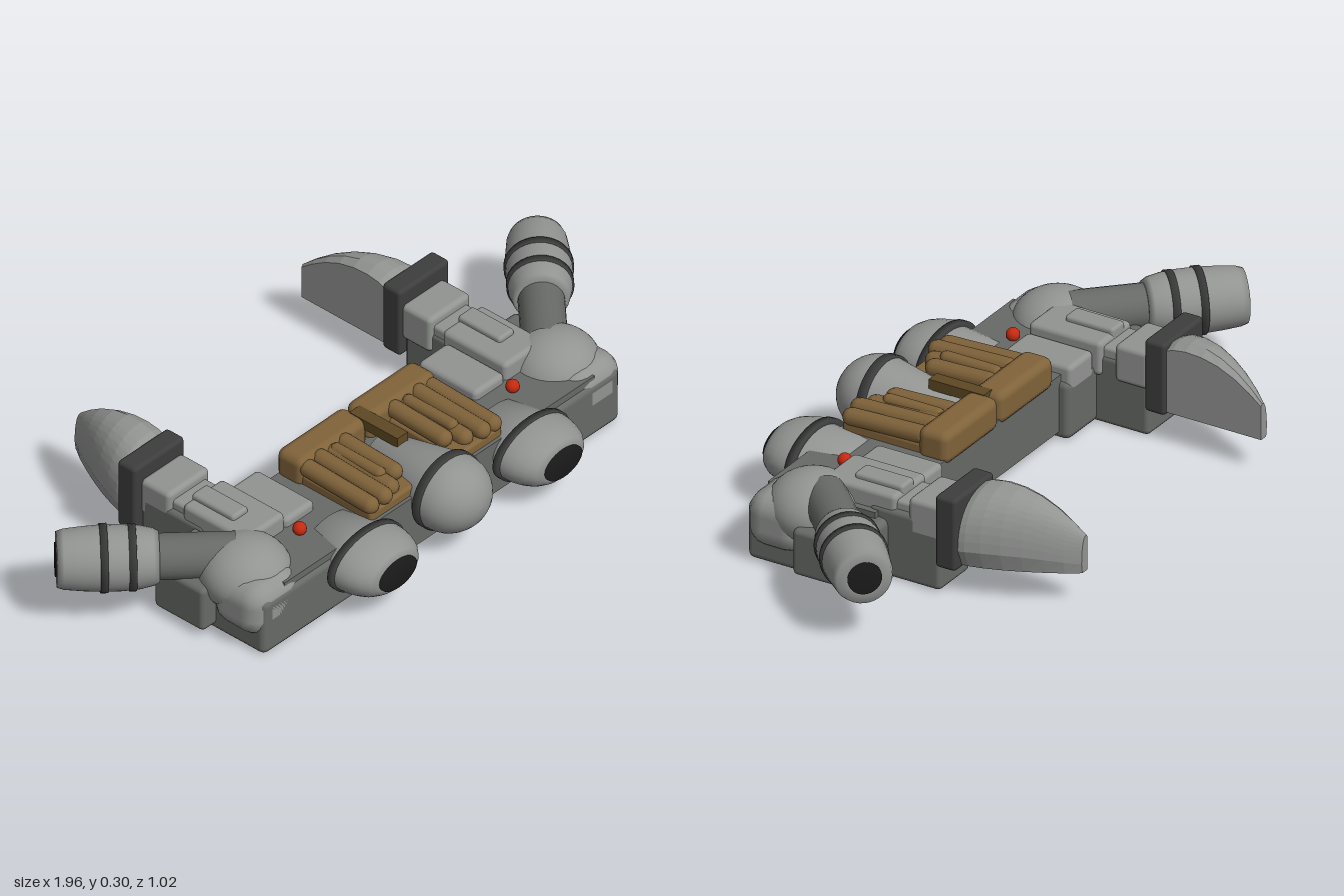
import * as THREE from 'three';
import { RoundedBoxGeometry } from 'three/addons/geometries/RoundedBoxGeometry.js';

const paint = (name, color) => {
  const m = new THREE.MeshStandardMaterial({ color });
  m.name = name;
  return m;
};

export function createModel() {
  const light = paint('light grey', 0x929492);
  const dark = paint('dark grey', 0x676a67);
  const band = paint('charcoal', 0x3c3d3c);
  const black = paint('black', 0x1b1b1b);
  const brown = paint('brown', 0x80633a);
  const strapBrown = paint('dark brown', 0x5e4823);
  const red = paint('red', 0xc42a10);

  const model = new THREE.Group();
  const add = (parent, name, geo, mat, x = 0, y = 0, z = 0) => {
    const m = new THREE.Mesh(geo, mat);
    m.name = name;
    m.position.set(x, y, z);
    parent.add(m);
    return m;
  };
  // Rounded box given by its limits, mirrored to side s
  const block = (parent, name, mat, s, [x0, x1], [y0, y1], [z0, z1], r = 0.015) =>
    add(parent, name, new RoundedBoxGeometry(x1 - x0, y1 - y0, z1 - z0, 2, r), mat,
      s * (x0 + x1) / 2, (y0 + y1) / 2, (z0 + z1) / 2);
  // Solid of revolution about z from [radius, z] pairs
  const lathe = (pts, n = 32) => new THREE.LatheGeometry(
    pts.map(([r, z]) => new THREE.Vector2(r, z)), n).rotateX(Math.PI / 2);

  // Hull
  add(model, 'hull', new THREE.BoxGeometry(1.2, 0.165, 0.33), dark, 0, 0.105, 0.195);

  // Nose: dome, ring and tapering cowl
  const nose = new THREE.Group();
  nose.name = 'nose';
  nose.position.set(0, 0.165, 0);
  model.add(nose);
  const dome = [];
  for (let i = 0; i <= 10; i++) {
    const a = i / 10 * Math.PI / 2;
    dome.push([0.115 * Math.cos(a), 0.395 + 0.112 * Math.sin(a)]);
  }
  const domeMesh = add(nose, 'noseDome', lathe(dome), light);
  const ring = add(nose, 'noseRing', lathe([[0.1, 0.37], [0.119, 0.37], [0.119, 0.395], [0.1, 0.395]]), band);
  const cowl = add(nose, 'noseCowl', lathe([[0, 0.15], [0.065, 0.15], [0.112, 0.372]]), light);
  for (const m of [domeMesh, ring, cowl]) m.scale.y = 0.92;

  // Cargo: deck, strap, cushions and rolled bundles
  add(model, 'cargoStrap', new THREE.BoxGeometry(0.04, 0.03, 0.17), strapBrown, 0, 0.25, 0.145);
  for (const s of [-1, 1]) {
    block(model, 'cushion', brown, s, [0.003, 0.265], [0.17, 0.265], [0.02, 0.115], 0.025);
    block(model, 'cargoMat', brown, s, [0.075, 0.255], [0.17, 0.215], [0.1, 0.35], 0.01);
    for (let i = 0; i < 4; i++) {
      const len = [0.17, 0.2, 0.22, 0.215][i];
      const roll = add(model, 'bundleRoll', new THREE.CapsuleGeometry(0.025, len, 4, 12), brown,
        s * (0.096 + i * 0.047), i % 2 ? 0.228 : 0.235, 0.115 + len / 2);
      roll.rotation.x = Math.PI / 2 + 0.04;
    }
    // Loose rolls on top
    const topRoll = add(model, 'topRoll', new THREE.CapsuleGeometry(0.018, 0.15, 4, 12), brown,
      s * 0.14, 0.245, 0.2);
    topRoll.rotation.x = Math.PI / 2;
    buildSide(s);
  }

  function buildSide(s) {
    const side = new THREE.Group();
    side.name = s > 0 ? 'leftSide' : 'rightSide';
    model.add(side);

    // Base and deck blocks
    block(side, 'foot', dark, s, [0.3, 0.69], [0, 0.17], [0, 0.37], 0.02);
    block(side, 'rearFoot', dark, s, [0.435, 0.585], [0, 0.2], [-0.16, 0.06], 0.015);
    block(side, 'outerBlock', dark, s, [0.58, 0.74], [0.02, 0.155], [0.025, 0.2]);
    block(side, 'innerDeck', light, s, [0.31, 0.425], [0.1, 0.215], [0, 0.205]);
    block(side, 'deckBlock', light, s, [0.425, 0.58], [0.14, 0.24], [-0.02, 0.205]);
    block(side, 'deckPlate', light, s, [0.485, 0.545], [0.22, 0.255], [-0.02, 0.13], 0.01);
    block(side, 'deckStep', light, s, [0.44, 0.57], [0.14, 0.225], [-0.08, 0.0], 0.01);
    block(side, 'clawArm', light, s, [0.425, 0.585], [0.14, 0.25], [-0.165, -0.06]);
    block(side, 'clawBracket', band, s, [0.415, 0.61], [0.085, 0.296], [-0.222, -0.158], 0.012);
    add(side, 'lamp', new THREE.SphereGeometry(0.019, 16, 12), red, s * 0.412, 0.2, 0.242);

    // Shoulder
    const shoulder = add(side, 'shoulder', new THREE.SphereGeometry(0.125, 32, 20), light, s * 0.598, 0.155, 0.22);
    shoulder.scale.set(1, 0.8, 1);
    block(side, 'shoulderHousing', light, s, [0.52, 0.717], [0.045, 0.205], [0.19, 0.37], 0.06);

    // Front pod: oval bowl with a dark mouth
    const pod = new THREE.Group();
    pod.name = 'frontPod';
    pod.position.set(s * 0.32, 0.135, 0);
    pod.scale.set(1, 0.63, 1);
    side.add(pod);
    add(pod, 'podBody', lathe([[0, 0.26], [0.1, 0.26], [0.118, 0.385]]), light);
    add(pod, 'podRing', lathe([[0.1, 0.38], [0.138, 0.38], [0.138, 0.4], [0.1, 0.4]]), band);
    add(pod, 'podBowl', lathe([[0.131, 0.4], [0.13, 0.42], [0.124, 0.445], [0.112, 0.472],
      [0.093, 0.493], [0.07, 0.502], [0.0, 0.502]]), light);
    add(pod, 'podMouth', lathe([[0.07, 0.498], [0.07, 0.508], [0, 0.508]]), black);

    // Side thruster, local +z pointing outward and back
    const thruster = new THREE.Group();
    thruster.name = 'sideThruster';
    thruster.position.set(s * 0.74, 0.192, 0.045);
    thruster.rotation.y = s * Math.PI * 0.75;
    side.add(thruster);
    add(thruster, 'thrusterArm', lathe([[0.062, -0.2], [0.062, 0.03]], 24), dark);
    add(thruster, 'thrusterBarrel', lathe([[0, 0], [0.068, 0], [0.076, 0.015], [0.084, 0.05], [0.088, 0.1],
      [0.088, 0.15], [0.085, 0.2], [0.08, 0.25], [0.074, 0.268], [0.046, 0.268], [0, 0.268]]), light);
    for (const [z, r] of [[0.06, 0.089], [0.135, 0.092]])
      add(thruster, 'thrusterBand', lathe([[0.07, z], [r, z], [r, z + 0.02], [0.07, z + 0.02]]), band);
    add(thruster, 'thrusterMouth', lathe([[0.046, 0.266], [0.046, 0.272], [0, 0.272]]), black);

    add(side, 'claw', clawGeometry(s), light);
  }
  return model;
}

// Claw: flat inside and below, rounded outside, tapering to the rear
function clawGeometry(s) {
  // z, outer width, top height
  const rows = [[-0.2, 0.175, 0.278], [-0.24, 0.17, 0.297], [-0.28, 0.158, 0.303], [-0.33, 0.138, 0.3],
    [-0.38, 0.113, 0.287], [-0.43, 0.085, 0.263], [-0.475, 0.057, 0.232], [-0.513, 0.028, 0.2]];
  const n = 10, ringSize = n + 3, bottom = 0.095, inner = 0.425;
  const pos = [], idx = [];
  for (const [z, w, top] of rows) {
    const h = top - bottom, put = (u, v) => pos.push(s * (inner + u * w), bottom + v * h, z);
    put(0, 0);
    put(0.88, 0);
    for (let i = 0; i <= n; i++) {
      const a = i / n * Math.PI / 2;
      put(0.18 + 0.82 * Math.cos(a) ** 0.8, 0.25 + 0.75 * Math.sin(a) ** 0.9);
    }
    put(0, 0.93);
    pos.splice(pos.length - 3 * (n + 4) + 3, 0); 
  }
  const size = pos.length / 3 / rows.length;
  const tri = (a, b, c) => s > 0 ? idx.push(a, b, c) : idx.push(a, c, b);
  for (let r = 0; r < rows.length - 1; r++)
    for (let i = 0; i < size; i++) {
      const a = r * size + i, b = r * size + (i + 1) % size;
      tri(a, b, b + size);
      tri(a, b + size, a + size);
    }
  // Tip cap
  const last = (rows.length - 1) * size;
  for (let i = 1; i < size - 1; i++) tri(last, last + i, last + i + 1);
  // Orientation: ring runs counter-clockwise seen from +z, so sides need reversing
  for (let i = 0; i < idx.length; i += 3) [idx[i + 1], idx[i + 2]] = [idx[i + 2], idx[i + 1]];
  const g = new THREE.BufferGeometry();
  g.setAttribute('position', new THREE.Float32BufferAttribute(pos, 3));
  g.setIndex(idx);
  const flat = g.toNonIndexed();
  flat.computeVertexNormals();
  return flat;
}
